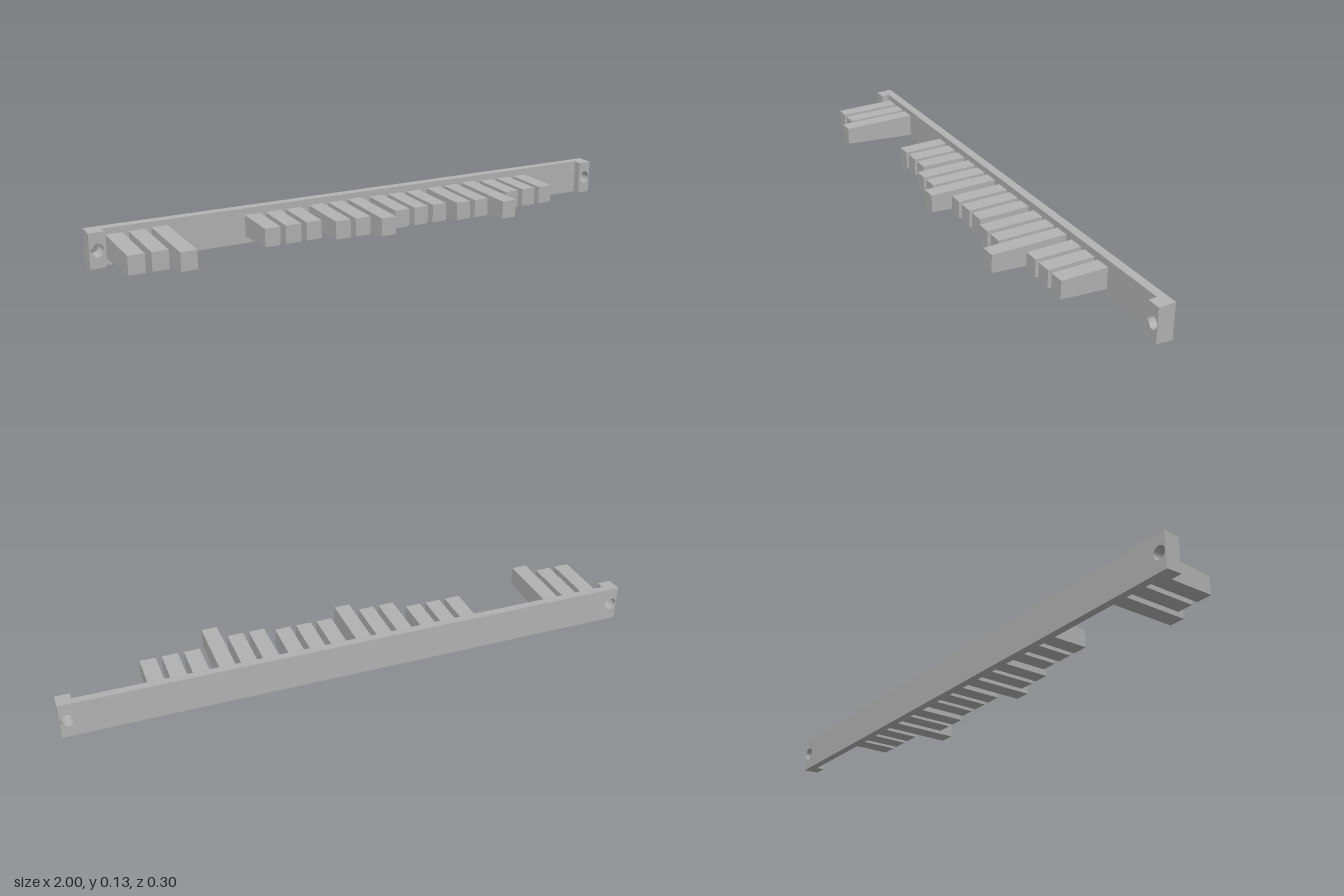
import * as THREE from 'three';

const MID = 0.0635;      // height of the bar's centre line
const BACK = -0.149, FACE = -0.12, LUG_FACE = -0.091;
const DRAFT = 0.038;     // slope of the moulded top and bottom faces
const HOLE_X = 0.975;

export function createModel() {
  const group = new THREE.Group();
  const grey = new THREE.MeshStandardMaterial({ color: 0xb2b2b2, flatShading: true });
  grey.name = 'plain grey';

  const add = (name, geometry) => {
    const mesh = new THREE.Mesh(geometry, grey);
    mesh.name = name;
    group.add(mesh);
  };

  // Drilled slab whose top and bottom edges narrow towards the front
  function slab(x0, x1, z0, z1, holes) {
    const shape = new THREE.Shape();
    shape.moveTo(x0, 0);
    shape.lineTo(x1, 0);
    shape.lineTo(x1, 1);
    shape.lineTo(x0, 1);
    shape.closePath();
    for (const x of holes) {
      const hole = new THREE.Path();
      hole.absarc(x, 0.5, 0.0225, 0, Math.PI * 2, true);
      shape.holes.push(hole);
    }
    const geo = new THREE.ExtrudeGeometry(shape, { depth: z1 - z0, bevelEnabled: false, curveSegments: 16 });
    geo.translate(0, 0, z0);
    const p = geo.attributes.position;
    for (let i = 0; i < p.count; i++) {
      const y = p.getY(i) - 0.5;
      const half = MID - 0.0005 - (p.getZ(i) - BACK) * 0.06;
      p.setY(i, MID + (Math.abs(y) > 0.4 ? Math.sign(y) * half : y));
    }
    geo.computeVertexNormals();
    return geo;
  }

  // Back bar and the two end lugs
  add('backBar', slab(-1, 1, BACK, FACE, [-HOLE_X, HOLE_X]));
  add('rightLug', slab(-1, -0.95, FACE, LUG_FACE, [-HOLE_X]));
  add('leftLug', slab(0.95, 1, FACE, LUG_FACE, [HOLE_X]));

  // Tooth with a fixed tip size that thickens towards its root
  function tooth(x, tip) {
    const length = tip - FACE;
    const geo = new THREE.BoxGeometry(0.055, 0.063, length);
    geo.translate(x, MID, FACE + length / 2);
    const p = geo.attributes.position;
    for (let i = 0; i < p.count; i++) {
      const side = Math.sign(p.getY(i) - MID);
      p.setY(i, p.getY(i) + side * (tip - p.getZ(i)) * DRAFT);
    }
    geo.computeVertexNormals();
    return geo;
  }

  // Groups of three teeth: start x, then tip z of each tooth
  const groups = [
    [-0.937, 0.104, 0.104, 0.149],
    [-0.46, 0.044, 0.044, 0.044],
    [-0.22, 0.084, 0.084, 0.126],
    [0.02, 0.065, 0.065, 0.065],
    [0.26, 0.084, 0.084, 0.149],
    [0.498, 0.044, 0.044, 0.044],
  ];
  groups.forEach(([x, ...tips], g) => tips.forEach((tip, i) => {
    add(`tooth${g * 3 + i + 1}`, tooth(x + 0.0275 + i * 0.0755, tip));
  }));

  return group;
}
